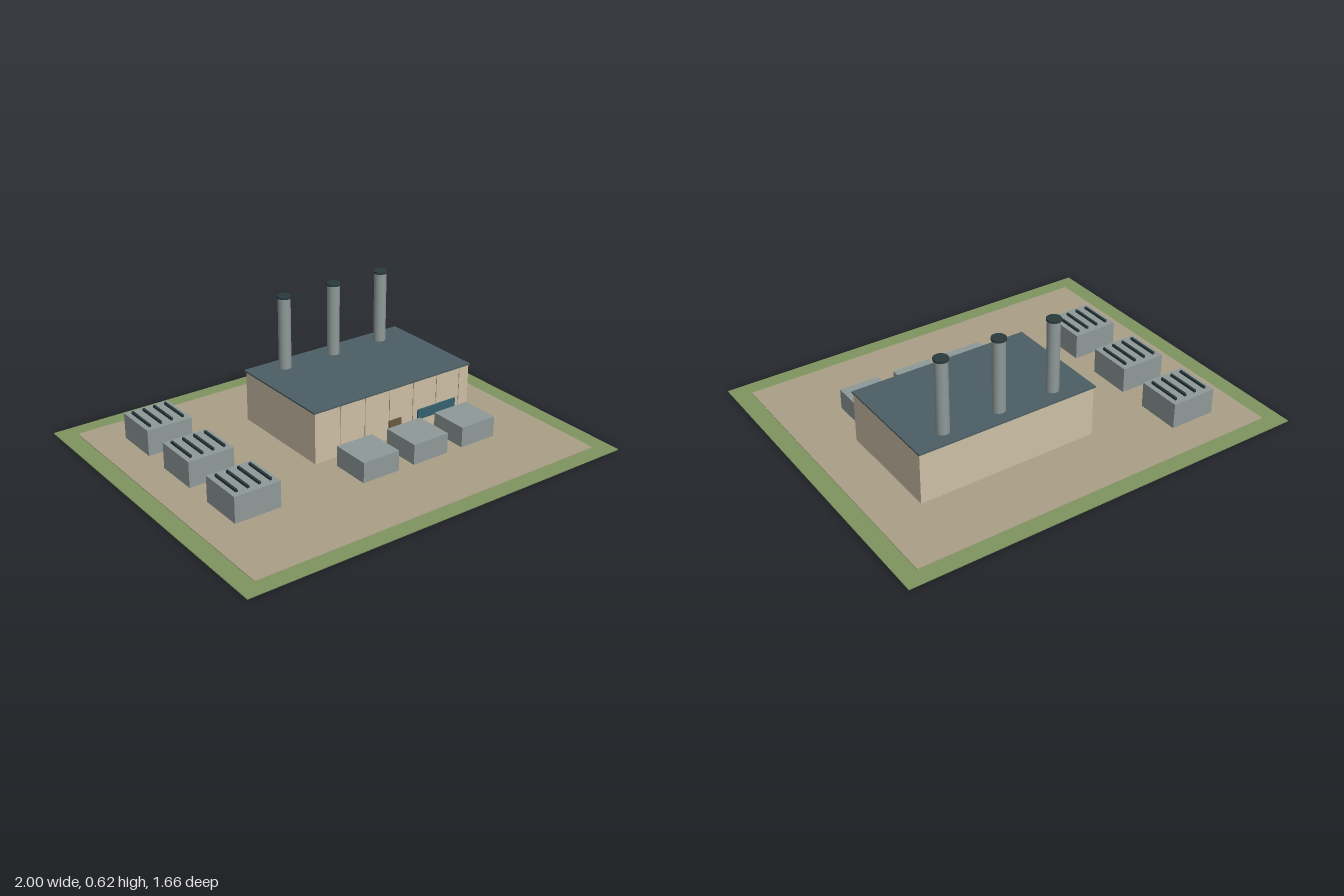
import * as THREE from 'three';

export function createModel() {
  const root = new THREE.Group();
  const mat = (color) => new THREE.MeshStandardMaterial({ color });
  const grass = mat(0x7f9560), sand = mat(0xaba087), wall = mat(0xcdbfa6), seam = mat(0xa3947c);
  const roofing = mat(0x4c5f64), metal = mat(0x8f9a98), dark = mat(0x2a3a3e);
  const glass = mat(0x34626e), wood = mat(0x6b5a40);

  // box given by its minimum and maximum on each axis
  const box = (name, material, x0, x1, y0, y1, z0, z1, parent = root) => {
    const mesh = new THREE.Mesh(new THREE.BoxGeometry(x1 - x0, y1 - y0, z1 - z0), material);
    mesh.position.set((x0 + x1) / 2, (y0 + y1) / 2, (z0 + z1) / 2);
    mesh.name = name;
    parent.add(mesh);
    return mesh;
  };
  const cylinder = (name, material, r, y0, y1, parent) => {
    const mesh = new THREE.Mesh(new THREE.CylinderGeometry(r, r, y1 - y0, 20), material);
    mesh.position.y = (y0 + y1) / 2;
    mesh.name = name;
    parent.add(mesh);
  };
  const group = (name, x, z) => {
    const g = new THREE.Group();
    g.name = name;
    g.position.set(x, 0, z);
    root.add(g);
    return g;
  };

  // site
  box('grassBase', grass, -1, 1, 0, 0.004, -0.83, 0.83);
  box('yard', sand, -0.915, 0.915, 0.004, 0.007, -0.75, 0.75);

  // main hall
  box('hallWalls', wall, -0.197, 0.692, 0.007, 0.255, -0.413, 0.14);
  box('hallRoof', roofing, -0.203, 0.697, 0.255, 0.263, -0.42, 0.143);
  for (let i = 0; i < 6; i++) {
    const x = -0.06 + i * 0.139;
    box('wallSeam', seam, x - 0.0015, x + 0.0015, 0.007, 0.255, 0.139, 0.1415);
  }
  box('door', wood, 0.215, 0.285, 0.007, 0.1, 0.138, 0.147);
  box('window', glass, 0.385, 0.61, 0.058, 0.108, 0.138, 0.147);

  // chimneys along the back, transformers in front
  for (const x of [-0.03, 0.25, 0.53]) {
    const chimney = group('chimney', x, -0.335);
    cylinder('chimneyStack', metal, 0.03, 0.26, 0.614, chimney);
    cylinder('chimneyCap', dark, 0.034, 0.612, 0.622, chimney);
    box('transformer', metal, x - 0.097, x + 0.097, 0.007, 0.106, 0.207, 0.401);
  }

  // cooling units with roof slats
  for (const z of [-0.475, -0.117, 0.247]) {
    const unit = group('coolingUnit', -0.64, z);
    box('unitBody', metal, -0.114, 0.114, 0.007, 0.133, -0.11, 0.11, unit);
    for (let i = 0; i < 4; i++) {
      const x = (i - 1.5) * 0.056;
      box('unitSlat', dark, x - 0.005, x + 0.005, 0.132, 0.145, -0.083, 0.083, unit);
    }
  }
  return root;
}
